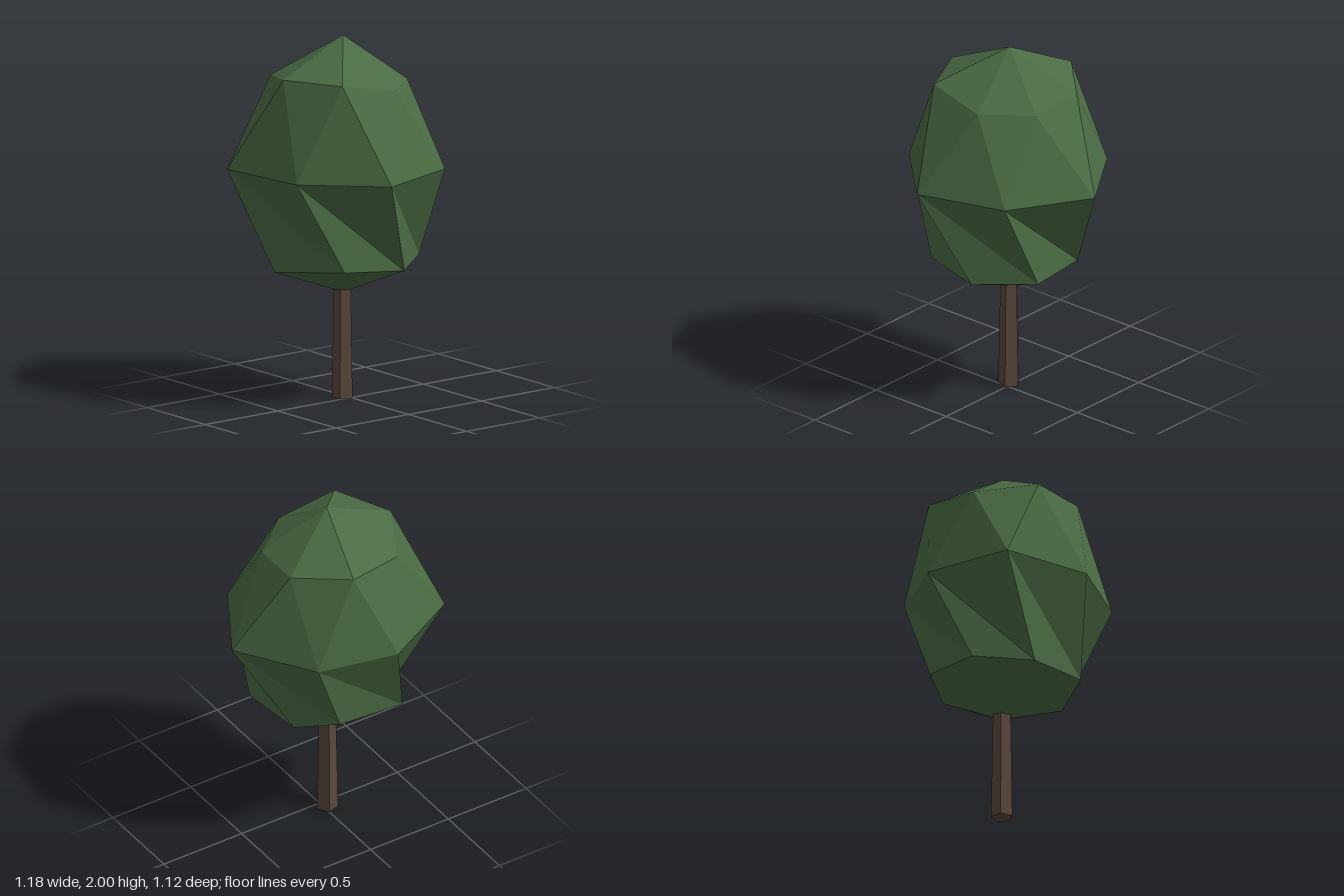
import * as THREE from 'three';

const foliageGreen = new THREE.MeshStandardMaterial({ color: 0x4a6b43, flatShading: true });
foliageGreen.name = 'foliage green';
const barkBrown = new THREE.MeshStandardMaterial({ color: 0x5c493d, flatShading: true });
barkBrown.name = 'bark brown';

// Irregular seven-sided crown rings, each running the same way round
const top = [-0.02, 2, -0.04];
const upper = [
  [-0.43, 1.81, -0.04], [-0.28, 1.81, 0.28], [0.06, 1.745, 0.31], [0.3, 1.74, 0.11],
  [0.32, 1.765, -0.2], [0.07, 1.8, -0.44], [-0.27, 1.76, -0.35],
];
const middle = [
  [-0.53, 1.29, 0.2], [-0.16, 1.29, 0.555], [0.33, 1.29, 0.4], [0.59, 1.29, -0.04],
  [0.31, 1.29, -0.46], [-0.14, 1.29, -0.56], [-0.595, 1.29, -0.32],
];
const lower = [
  [-0.28, 0.785, 0.3], [0.07, 0.76, 0.375], [0.35, 0.77, 0.15], [0.31, 0.77, -0.22],
  [0.13, 0.83, -0.4], [-0.29, 0.775, -0.37], [-0.46, 0.745, -0.08],
];
const bottom = [-0.02, 0.58, -0.04];

function crownGeometry() {
  const corners = [];
  const face = (a, b, c) => corners.push(...a, ...b, ...c);
  for (let i = 0; i < 7; i++) {
    const j = (i + 1) % 7;
    // Cap
    face(top, upper[i], upper[j]);
    // Upper band
    face(upper[i], middle[i], upper[j]);
    face(upper[j], middle[i], middle[j]);
    // Twisted lower band
    face(middle[i], lower[i], lower[j]);
    face(middle[i], lower[j], middle[j]);
    // Underside
    face(bottom, lower[j], lower[i]);
  }
  const geometry = new THREE.BufferGeometry();
  geometry.setAttribute('position', new THREE.Float32BufferAttribute(corners, 3));
  geometry.computeVertexNormals();
  return geometry;
}

export function createModel() {
  const tree = new THREE.Group();
  tree.name = 'tree';

  const crown = new THREE.Mesh(crownGeometry(), foliageGreen);
  crown.name = 'crown';
  tree.add(crown);

  // Five-sided tapering trunk with a corner towards +x
  const trunk = new THREE.Mesh(
    new THREE.CylinderGeometry(0.05, 0.061, 0.61, 5, 1, false, Math.PI / 2), barkBrown);
  trunk.name = 'trunk';
  trunk.position.set(-0.02, 0.305, -0.04);
  tree.add(trunk);

  return tree;
}
